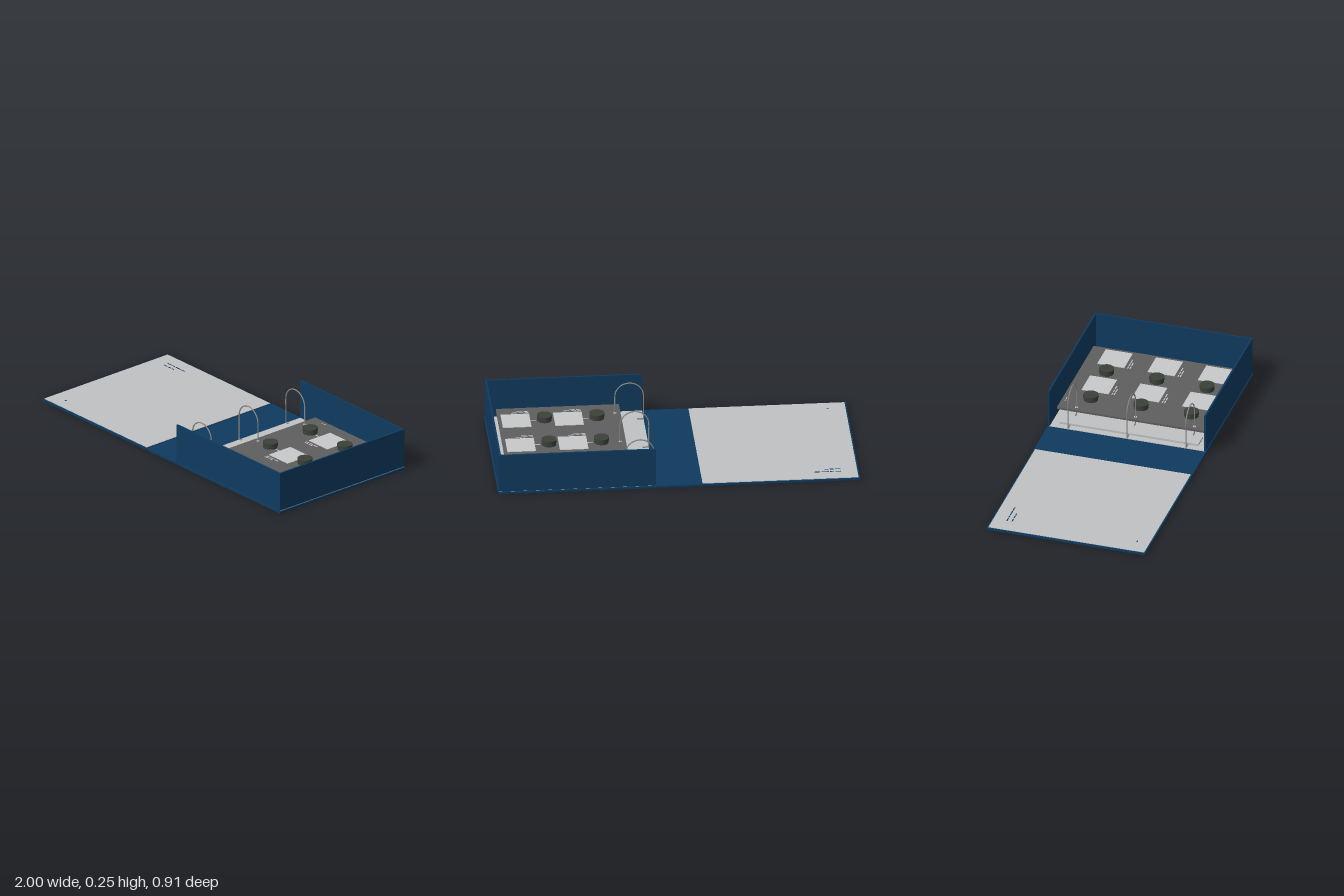
import * as THREE from 'three';

const mat = (name, color) => Object.assign(new THREE.MeshStandardMaterial({ color }), { name });

export function createModel() {
  const navy = mat('navy board', 0x0f3a5f);
  const grey = mat('grey lining', 0xbfc1c3);
  const dark = mat('dark panel', 0x5e5e5f);
  const knobMat = mat('knob black', 0x3a4139);
  const steel = mat('ring steel', 0x8c8c8a);
  const white = mat('pale card', 0xc8c9ca);

  const root = new THREE.Group();
  root.name = 'openBinder';

  // Box given by its limits on each axis
  const box = (name, m, x0, x1, y0, y1, z0, z1, parent = root) => {
    const mesh = new THREE.Mesh(new THREE.BoxGeometry(x1 - x0, y1 - y0, z1 - z0), m);
    mesh.position.set((x0 + x1) / 2, (y0 + y1) / 2, (z0 + z1) / 2);
    mesh.name = name;
    parent.add(mesh);
    return mesh;
  };
  const cyl = (name, m, r, h, x, y, z, parent = root) => {
    const mesh = new THREE.Mesh(new THREE.CylinderGeometry(r, r, h, 32), m);
    mesh.position.set(x, y + h / 2, z);
    mesh.name = name;
    parent.add(mesh);
    return mesh;
  };

  // Boards: cover, spine and base, with narrow hinge gaps
  box('coverBoard', navy, -1, -0.127, 0, 0.012, -0.457, 0.457);
  box('spineBoard', navy, -0.123, 0.123, 0, 0.012, -0.457, 0.457);
  box('baseBoard', navy, 0.127, 1, 0, 0.012, -0.457, 0.457);
  for (const s of [-1, 1]) box('hinge', navy, s * 0.125 - 0.003, s * 0.125 + 0.003, 0.002, 0.009, -0.455, 0.455);

  // Linings
  box('coverLining', grey, -0.992, -0.13, 0.012, 0.015, -0.449, 0.449);
  box('baseLining', grey, 0.127, 0.992, 0.012, 0.016, -0.449, 0.449);

  // Three raised walls around the base
  for (const s of [-1, 1]) {
    box('sideWall', navy, 0.127, 0.994, 0.016, 0.24, s * 0.45 - 0.005, s * 0.45 + 0.005);
  }
  box('endWall', navy, 0.984, 0.994, 0.016, 0.24, -0.445, 0.445);

  // Ring mechanism: plate and three arches
  const rings = new THREE.Group();
  rings.name = 'ringMechanism';
  root.add(rings);
  box('ringPlate', grey, 0.165, 0.248, 0.016, 0.028, -0.4, 0.4, rings);
  const arch = new THREE.CurvePath();
  const cx = 0.207, cy = 0.164, r = 0.079;
  const v = (x, y) => new THREE.Vector3(x, y, 0);
  const points = [v(cx - r, 0.016), v(cx - r, 0.06), v(cx - r, 0.11)];
  for (let i = 0; i <= 16; i++) {
    const a = Math.PI * (1 - i / 16);
    points.push(v(cx + r * Math.cos(a), cy + r * Math.sin(a)));
  }
  points.push(v(cx + r, 0.11), v(cx + r, 0.06), v(cx + r, 0.016));
  const archGeo = new THREE.TubeGeometry(new THREE.CatmullRomCurve3(points), 64, 0.0035, 8);
  for (const z of [-0.34, 0, 0.34]) {
    const ring = new THREE.Mesh(archGeo, steel);
    ring.name = 'ring';
    ring.position.z = z;
    rings.add(ring);
    box('ringBar', steel, cx - r, cx + r, 0.017, 0.023, z - 0.003, z + 0.003, rings);
    // Eyelet where the ring passes through the panel
    cyl('eyelet', white, 0.009, 0.001, cx + r, 0.062, z, rings);
  }

  // Raised instrument panel
  const panel = new THREE.Group();
  panel.name = 'panel';
  root.add(panel);
  const top = 0.062;
  box('panelSheet', dark, 0.255, 0.935, 0.05, top, -0.444, 0.444, panel);

  // Row of short printed marks standing in for captions
  const marks = (name, m, x, y, z, lengths, parent) => {
    for (const len of lengths) {
      box(name, m, x, x + len, y, y + 0.001, z - 0.003, z + 0.003, parent);
      x += len + 0.008;
    }
  };
  marks('panelCaption', white, 0.335, top, -0.421, [0.012, 0.014], panel);

  // Six stations: knob, pointer, card and caption
  for (const x of [0.39, 0.68]) {
    for (const z of [-0.29, 0, 0.29]) {
      const station = new THREE.Group();
      station.name = 'station';
      station.position.set(x, top, z);
      panel.add(station);
      cyl('knobBase', knobMat, 0.04, 0.012, 0, 0, 0, station);
      cyl('knobCap', knobMat, 0.042, 0.018, 0, 0.014, 0, station);
      cyl('knobNeck', knobMat, 0.036, 0.004, 0, 0.011, 0, station);
      box('pointer', white, 0.046, 0.08, 0, 0.001, -0.003, 0.003, station);
      box('card', white, 0.078, 0.236, 0, 0.003, -0.078, 0.078, station);
      marks('caption', white, 0.08, 0, 0.096, [0.02, 0.026, 0.034], station);
      marks('caption', white, 0.08, 0, 0.109, [0.026, 0.03], station);
    }
  }

  // Printed marks on the cover lining
  marks('coverMark', navy, -0.9, 0.015, -0.371, [0.03, 0.02, 0.04, 0.03], root);
  marks('coverMark', navy, -0.9, 0.015, -0.342, [0.03, 0.02, 0.02], root);
  marks('coverMark', navy, -0.9, 0.015, 0.378, [0.014], root);

  return root;
}
